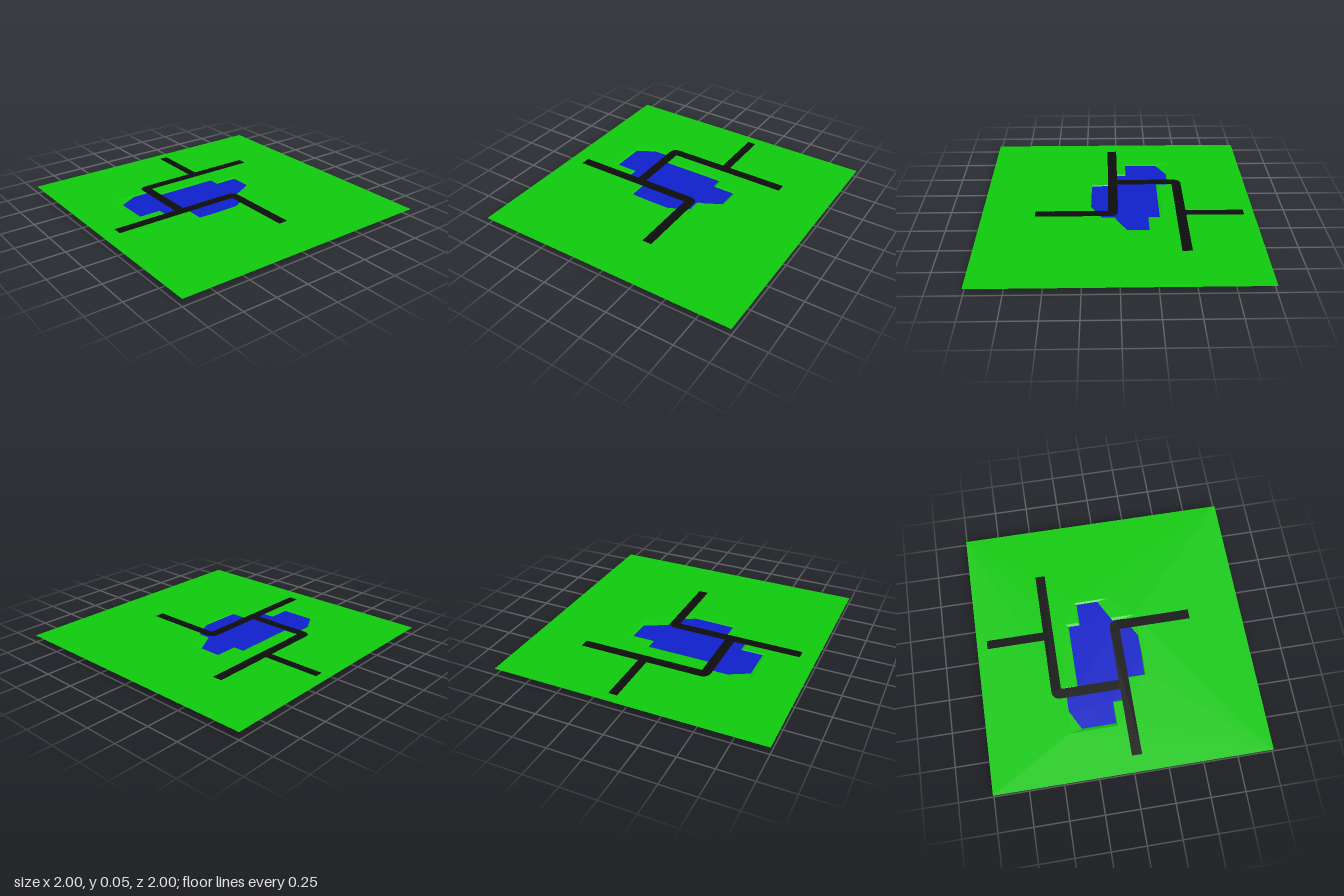
import * as THREE from 'three';

const TOP = 0.053, WATER = 0.047, ROAD = 0.0545;

// pond cross-sections going around: rim x,z / shoreline x,z / bed x,z
const pond = [
  [-0.65, -0.41, -0.63, -0.32, -0.47, -0.2],
  [-0.65, -0.41, -0.49, -0.395, -0.45, -0.27],
  [-0.31, -0.41, -0.32, -0.395, -0.33, -0.27],
  [-0.31, -0.325, -0.32, -0.305, -0.3, -0.2],
  [0.18, -0.325, 0.16, -0.305, 0.02, -0.2],
  [0.18, -0.235, 0.16, -0.22, 0.04, -0.15],
  [0.345, -0.235, 0.33, -0.22, 0.2, -0.13],
  [0.345, 0.02, 0.33, -0.06, 0.2, -0.08],
  [0.18, 0.02, 0.16, 0.03, 0.05, -0.03],
  [0.18, 0.2, 0.16, 0.12, 0.03, 0.05],
  [0.18, 0.2, 0.01, 0.2, 0.02, 0.17],
  [-0.15, 0.205, -0.15, 0.2, -0.14, 0.17],
  [-0.305, 0.2, -0.3, 0.195, -0.2, 0.1],
  [-0.305, 0.04, -0.3, 0.04, -0.22, 0],
  [-0.475, 0.04, -0.465, 0.03, -0.4, -0.05],
  [-0.475, -0.065, -0.465, -0.07, -0.42, -0.1],
  [-0.65, -0.065, -0.63, -0.07, -0.47, -0.12],
];

const material = (color, flatShading = false) =>
  new THREE.MeshStandardMaterial({ color, flatShading, side: THREE.DoubleSide });

// one ring of the pond as plan points (shape y is -z), repeats dropped
const ring = (k) => pond
  .map((p) => new THREE.Vector2(p[2 * k], -p[2 * k + 1]))
  .filter((v, i, a) => i === 0 || v.distanceTo(a[i - 1]) > 1e-4);

const rectangle = (x0, z0, x1, z1) => new THREE.Shape([
  new THREE.Vector2(x0, -z1), new THREE.Vector2(x1, -z1),
  new THREE.Vector2(x1, -z0), new THREE.Vector2(x0, -z0),
]);

// horizontal sheet cut from a plan shape
function sheet(name, shape, y, mat) {
  const geometry = new THREE.ShapeGeometry(shape, 8);
  geometry.rotateX(-Math.PI / 2).translate(0, y, 0);
  const mesh = new THREE.Mesh(geometry, mat);
  mesh.name = name;
  return mesh;
}

// sloping banks joining rim, shoreline and bed
function banks(mat) {
  const heights = [TOP, WATER, 0], positions = [];
  const at = (i, k) => {
    const p = pond[i % pond.length];
    return [p[2 * k], heights[k], p[2 * k + 1]];
  };
  for (let k = 0; k < 2; k++) {
    for (let i = 0; i < pond.length; i++) {
      positions.push(
        ...at(i, k), ...at(i, k + 1), ...at(i + 1, k + 1),
        ...at(i, k), ...at(i + 1, k + 1), ...at(i + 1, k));
    }
  }
  const geometry = new THREE.BufferGeometry();
  geometry.setAttribute('position', new THREE.Float32BufferAttribute(positions, 3));
  geometry.computeVertexNormals();
  const mesh = new THREE.Mesh(geometry, mat);
  mesh.name = 'pondBanks';
  return mesh;
}

// L-shaped road with a rounded outer corner
function bentRoad(endX, cornerX, cornerZ, endZ, width) {
  const s = Math.sign(endX - cornerX), r = 0.065;
  const shape = new THREE.Shape();
  shape.moveTo(endX, -cornerZ);
  shape.lineTo(cornerX + s * r, -cornerZ);
  shape.quadraticCurveTo(cornerX, -cornerZ, cornerX, -(cornerZ + r));
  shape.lineTo(cornerX, -endZ);
  shape.lineTo(cornerX + s * width, -endZ);
  shape.lineTo(cornerX + s * width, -(cornerZ + width));
  shape.lineTo(endX, -(cornerZ + width));
  shape.closePath();
  return shape;
}

export function createModel() {
  const model = new THREE.Group();
  model.name = 'landscape';
  const grass = material(0x10cc0e, true);
  const water = material(0x1020cc);
  const asphalt = material(0x0d0d0d);

  // ground with the pond cut out
  const field = rectangle(-1, -1, 1, 1);
  field.holes.push(new THREE.Path(ring(0)));
  model.add(sheet('ground', field, TOP, grass));

  // pond
  model.add(banks(grass));
  model.add(sheet('pondBed', new THREE.Shape(ring(2)), 0, grass));
  model.add(sheet('water', new THREE.Shape(ring(1)), WATER, water));

  // roads
  const roads = new THREE.Group();
  roads.name = 'roads';
  roads.add(
    sheet('backRoad', rectangle(0.08, -0.925, 0.145, -0.5), ROAD, asphalt),
    sheet('crossingRoad', bentRoad(0.605, -0.385, -0.5, 0, 0.072), ROAD, asphalt),
    sheet('frontRoad', bentRoad(-0.88, 0.153, 0, 0.61, 0.073), ROAD, asphalt));
  model.add(roads);
  return model;
}
